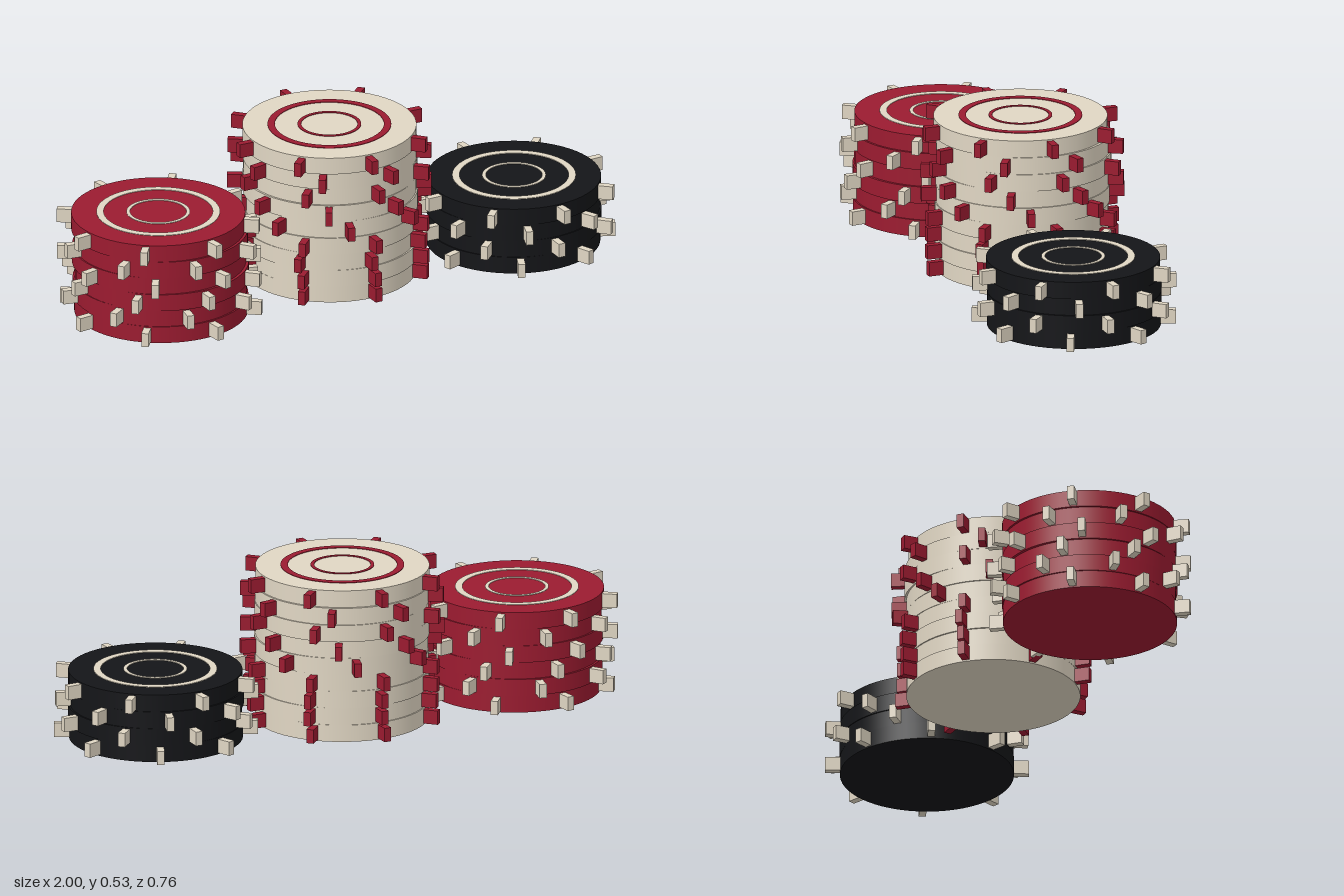
import * as THREE from 'three';

const H = 0.525 / 9; // chip thickness
const R = 0.29;      // chip radius

const paint = (color) => new THREE.MeshStandardMaterial({ color });
const red = paint(0x9b1b30), cream = paint(0xe0d6c3), black = paint(0x141518);

const discGeo = new THREE.CylinderGeometry(R, R, H, 64);
const tabGeo = new THREE.BoxGeometry(0.08, 0.048, 0.0245);

// Each chip: [x, z, rotation of its edge tabs in degrees], bottom to top
const stacks = [
  { name: 'redStack', body: red, trim: cream, chips: [
    [-0.657, 0.008, -8], [-0.66, 0.003, 10], [-0.656, 0.01, -2],
    [-0.662, 0.002, -15], [-0.657, 0.006, 6], [-0.664, 0, -9]] },
  { name: 'creamStack', body: cream, trim: red, chips: [
    [0, -0.034, -1], [0.002, -0.03, 0], [-0.003, -0.033, 1], [0, -0.03, -1],
    [0.003, -0.033, 16], [-0.002, -0.034, 28], [0.004, -0.039, -3],
    [0, -0.036, 32], [-0.005, -0.028, 1]] },
  { name: 'blackStack', body: black, trim: cream, chips: [
    [0.654, 0.035, 23], [0.658, 0.035, 0], [0.652, 0.033, 18], [0.655, 0.038, -4]] },
];

// Thin raised band on a chip face
function makeRing(name, inner, outer, material) {
  const t = 0.002;
  const profile = [[inner, 0], [outer, 0], [outer, t], [outer, t], [inner, t], [inner, t], [inner, 0]]
    .map(([x, y]) => new THREE.Vector2(x, y));
  const ring = new THREE.Mesh(new THREE.LatheGeometry(profile, 64), material);
  ring.name = name;
  ring.position.y = H / 2;
  return ring;
}

function makeChip(body, trim, phase) {
  const chip = new THREE.Group();
  const disc = new THREE.Mesh(discGeo, body);
  disc.name = 'disc';
  chip.add(disc);
  // Eight tabs around the rim
  for (let i = 0; i < 8; i++) {
    const a = THREE.MathUtils.degToRad(phase + i * 45);
    const tab = new THREE.Mesh(tabGeo, trim);
    tab.name = 'edgeTab';
    tab.position.set(Math.cos(a) * 0.3, 0, Math.sin(a) * 0.3);
    tab.rotation.y = -a;
    chip.add(tab);
  }
  return chip;
}

export function createModel() {
  const model = new THREE.Group();
  model.name = 'chipStacks';
  for (const { name, body, trim, chips } of stacks) {
    const stack = new THREE.Group();
    stack.name = name;
    chips.forEach(([x, z, phase], i) => {
      const chip = makeChip(body, trim, phase);
      chip.name = 'chip' + (i + 1);
      chip.position.set(x, H * (i + 0.5), z);
      // Inlaid rings on the top chip
      if (i === chips.length - 1) {
        chip.add(makeRing('outerRing', 0.182, 0.206, trim), makeRing('innerRing', 0.094, 0.106, trim));
      }
      stack.add(chip);
    });
    model.add(stack);
  }
  return model;
}
